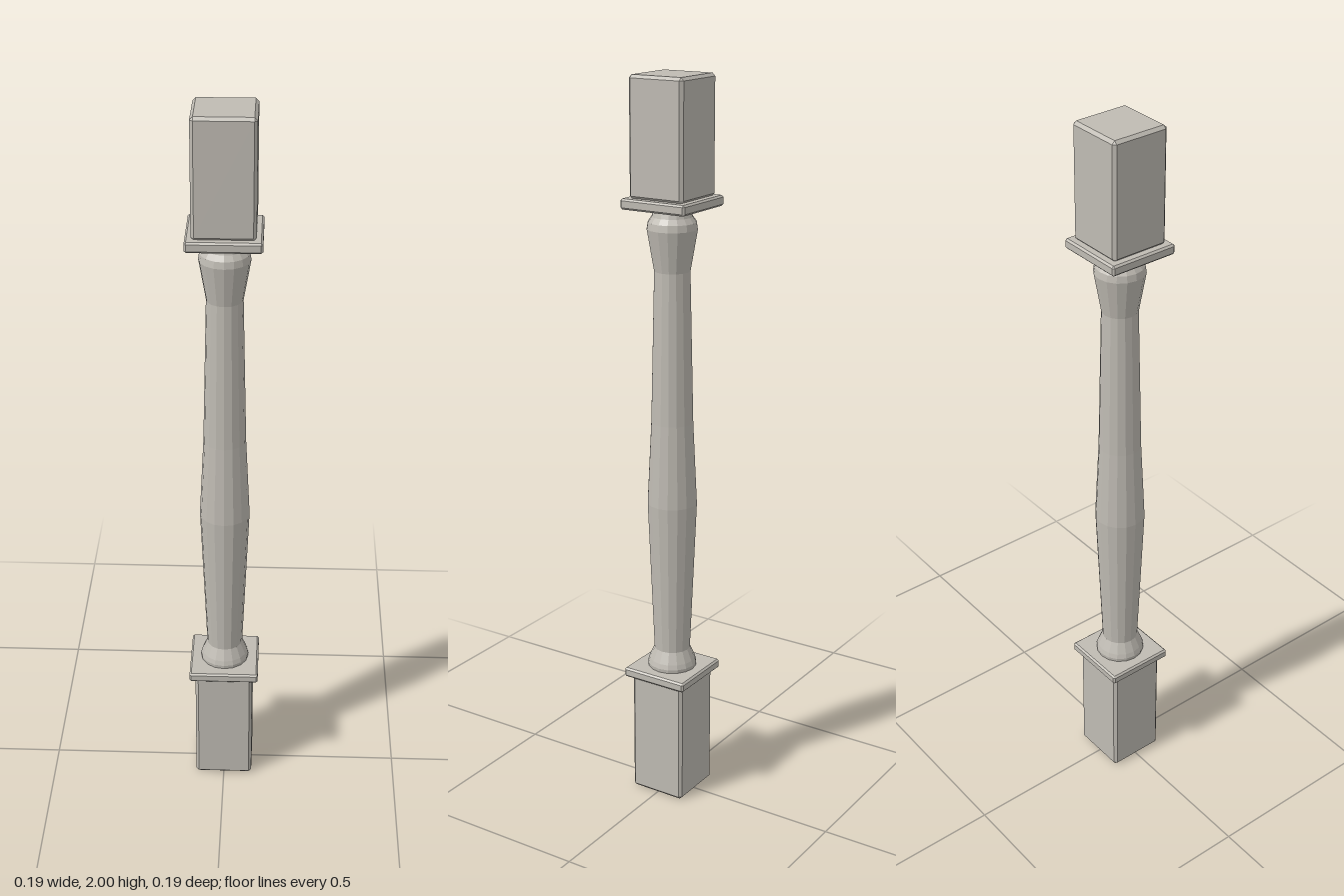
import * as THREE from 'three';
import { ConvexGeometry } from 'three/addons/geometries/ConvexGeometry.js';

// Square box with chamfered edges, spanning y0 to y1
function chamferedBox(half, y0, y1, c) {
  const h = (y1 - y0) / 2;
  const points = [];
  for (const sx of [-1, 1]) for (const sy of [-1, 1]) for (const sz of [-1, 1]) {
    points.push(
      new THREE.Vector3(sx * half, sy * (h - c), sz * (half - c)),
      new THREE.Vector3(sx * (half - c), sy * h, sz * (half - c)),
      new THREE.Vector3(sx * (half - c), sy * (h - c), sz * half)
    );
  }
  return new ConvexGeometry(points).translate(0, (y0 + y1) / 2, 0);
}

export function createModel() {
  const group = new THREE.Group();
  group.name = 'baluster';
  const stone = new THREE.MeshStandardMaterial({ color: 0xbfbbb3, flatShading: true });
  stone.name = 'warm grey stone';

  const add = (name, geometry) => {
    const mesh = new THREE.Mesh(geometry, stone);
    mesh.name = name;
    group.add(mesh);
  };

  // Square end blocks
  add('bottomBlock', chamferedBox(0.081, 0, 0.349, 0.008));
  add('topBlock', chamferedBox(0.081, 1.69, 2, 0.008));

  // Wider plates between the blocks and the shaft
  add('bottomPlate', chamferedBox(0.097, 0.348, 0.375, 0.005));
  add('topPlate', chamferedBox(0.097, 1.664, 1.692, 0.005));

  // Turned shaft: foot ring, swelling belly, slim neck and flared head
  const profile = [
    [0, 0.365], [0.066, 0.365], [0.068, 0.385], [0.064, 0.398], [0.05, 0.43],
    [0.068, 0.86], [0.057, 1.09], [0.048, 1.5], [0.067, 1.61],
    [0.064, 1.628], [0.054, 1.642], [0.05, 1.655], [0.05, 1.675], [0, 1.675]
  ].map(([r, y]) => new THREE.Vector2(r, y));
  add('shaft', new THREE.LatheGeometry(profile, 16));

  return group;
}
